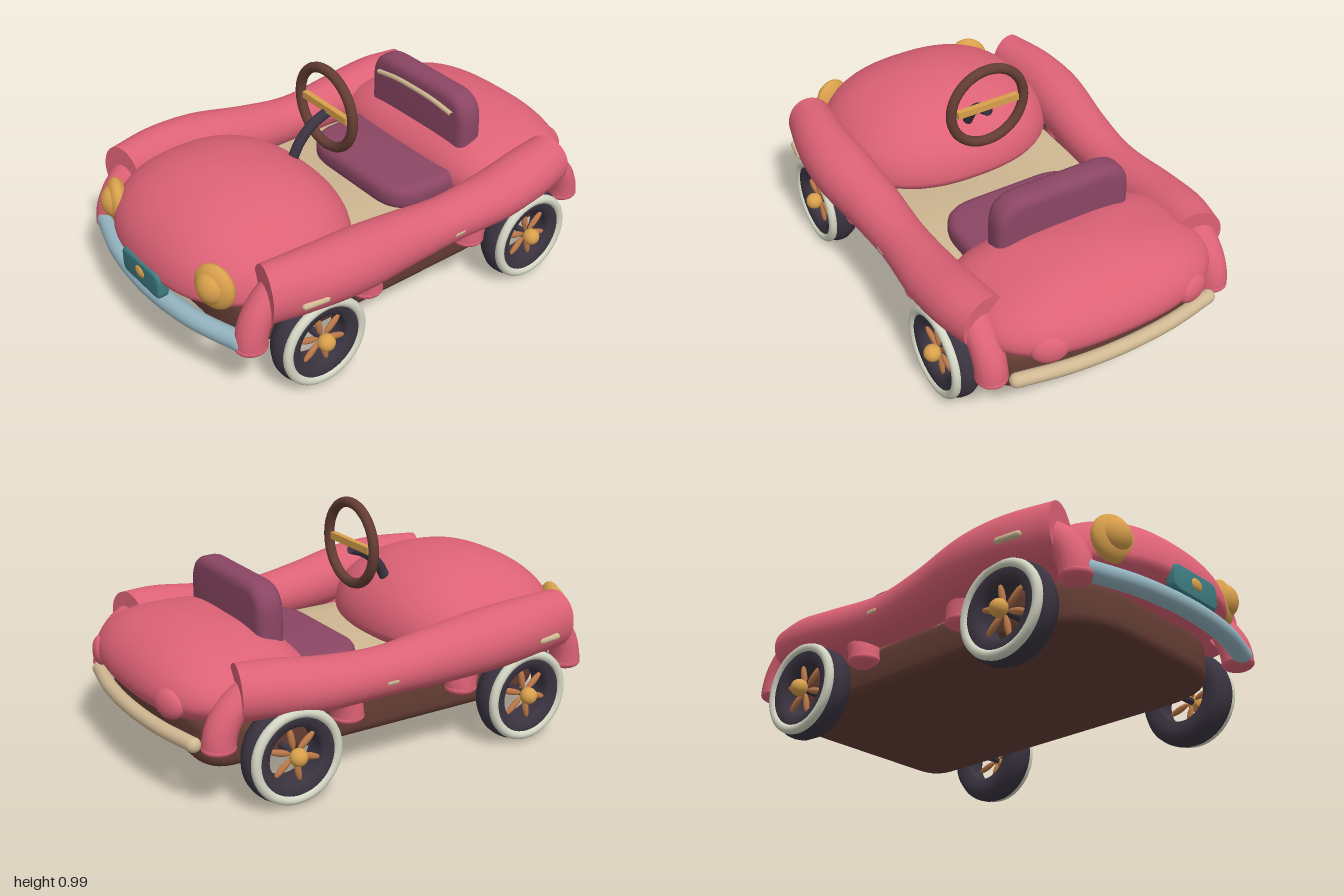
import * as THREE from 'three';
import { mergeVertices, toCreasedNormals } from 'three/addons/utils/BufferGeometryUtils.js';

const mat = (name, color) => new THREE.MeshStandardMaterial({ name, color });

export function createModel() {
  const car = new THREE.Group();
  car.name = 'pedalCar';
  const paint = mat('rosePaint', 0xdd6276);
  paint.side = THREE.DoubleSide;
  const brown = mat('darkBrown', 0x643d34);
  const plum = mat('plumLeather', 0x8b4664);
  const gold = mat('gold', 0xd9a04c);
  const copper = mat('copper', 0xbb7748);
  const rubber = mat('rubber', 0x3b3441);
  const white = mat('whitewall', 0xd5d7c5);
  const tan = mat('tan', 0xd0b893);
  const blue = mat('paleBlue', 0x94b5c1);
  const teal = mat('teal', 0x3f7d83);
  const V = (x, y, z) => new THREE.Vector3(x, y, z);

  const add = (name, geo, material, x = 0, y = 0, z = 0, parent = car) => {
    const m = new THREE.Mesh(geo, material);
    m.name = name;
    m.position.set(x, y, z);
    parent.add(m);
    return m;
  };
  const ball = (rx, ry, rz) => new THREE.SphereGeometry(1, 24, 16).scale(rx, ry, rz);

  // Ellipsoid with a squarer plan and separate radii for each half
  const dome = (rx, up, down, front, back, nFront, nBack) => {
    let g = new THREE.SphereGeometry(1, 56, 36);
    g.deleteAttribute('uv');
    g.deleteAttribute('normal');
    g = mergeVertices(g, 1e-4);
    const p = g.attributes.position;
    for (let i = 0; i < p.count; i++) {
      const x = p.getX(i), y = p.getY(i), z = p.getZ(i);
      const n = z > 0 ? nFront : nBack;
      const len = Math.hypot(x, z);
      const k = len < 1e-3 ? 1 : len / Math.pow(Math.abs(x) ** n + Math.abs(z) ** n, 1 / n);
      p.setXYZ(i, x * k * rx, y * (y > 0 ? up : down), z * k * (z > 0 ? front : back));
    }
    g.computeVertexNormals();
    return g;
  };

  // Rounded outline with different corner radii at the low and high ends
  const outline = (hw, a, b, ra, rb) => {
    const s = new THREE.Shape();
    s.moveTo(-hw + ra, a);
    s.lineTo(hw - ra, a);
    s.quadraticCurveTo(hw, a, hw, a + ra);
    s.lineTo(hw, b - rb);
    s.quadraticCurveTo(hw, b, hw - rb, b);
    s.lineTo(-hw + rb, b);
    s.quadraticCurveTo(-hw, b, -hw, b - rb);
    s.lineTo(-hw, a + ra);
    s.quadraticCurveTo(-hw, a, -hw + ra, a);
    return s;
  };
  const plate = (shape, depth, bevel) => toCreasedNormals(new THREE.ExtrudeGeometry(shape, {
    depth: depth - 2 * bevel, bevelSize: bevel, bevelThickness: bevel, bevelOffset: -bevel,
    bevelSegments: 4, curveSegments: 10,
  }).translate(0, 0, bevel), 0.6);
  const slab = (shape, depth, bevel) => plate(shape, depth, bevel).rotateX(Math.PI / 2);

  // Chassis, floor and body domes
  add('chassis', slab(outline(0.49, -0.87, 0.81, 0.14, 0.3), 0.19, 0.045), brown, 0, 0.35);
  add('floor', slab(outline(0.44, -0.42, 0.4, 0.12, 0.1), 0.03, 0.004), tan, 0, 0.37);
  add('hood', dome(0.5, 0.295, 0.13, 0.435, 0.43, 2.5, 2.4), paint, 0, 0.42, 0.55);
  add('rearDeck', dome(0.53, 0.2, 0.15, 0.34, 0.32, 4, 2.6), paint, 0, 0.42, -0.68);

  // Side body: one flowing tube; rows are z, inner x, outer x, bottom y, top y
  const rows = [
    [-0.75, 0.39, 0.6, 0.36, 0.58], [-0.6, 0.4, 0.635, 0.35, 0.575], [-0.4, 0.41, 0.645, 0.335, 0.548],
    [-0.13, 0.415, 0.625, 0.33, 0.53], [0.1, 0.41, 0.643, 0.33, 0.56], [0.35, 0.42, 0.677, 0.345, 0.602],
    [0.55, 0.43, 0.665, 0.355, 0.615], [0.76, 0.42, 0.615, 0.36, 0.61],
  ];
  const lower = new THREE.CatmullRomCurve3(rows.map(r => V(r[1], r[3], r[0])));
  const upper = new THREE.CatmullRomCurve3(rows.map(r => V(r[2], r[4], r[0])));
  const sideBody = side => {
    const N = 48, M = 28, pos = [], idx = [];
    for (let i = 0; i <= N; i++) {
      const a = lower.getPoint(i / N), b = upper.getPoint(i / N);
      const cx = (a.x + b.x) / 2, cy = (a.y + b.y) / 2;
      for (let j = 0; j < M; j++) {
        const t = j / M * Math.PI * 2;
        const dx = Math.cos(t) * (b.x - a.x) / 2;
        pos.push(side * (cx + dx), cy + Math.sin(t) * (b.y - a.y) / 2, a.z * (1 + 0.33 * dx));
        const k = i * M + j, n = i * M + (j + 1) % M;
        if (i < N) idx.push(...(side > 0 ? [k, n, k + M, n, n + M, k + M] : [k, k + M, n, n, k + M, n + M]));
      }
    }
    // End caps
    for (const i of [0, N]) for (let j = 1; j < M - 1; j++) {
      const k = i * M;
      idx.push(...((i === 0) === (side > 0) ? [k, k + j + 1, k + j] : [k, k + j, k + j + 1]));
    }
    const g = new THREE.BufferGeometry();
    g.setAttribute('position', new THREE.Float32BufferAttribute(pos, 3));
    g.setIndex(idx);
    return toCreasedNormals(g, 0.7);
  };

  // Wheel pieces, lathed about the axle
  const lathe = pts => new THREE.LatheGeometry(pts.map(p => new THREE.Vector2(...p)), 48).rotateZ(-Math.PI / 2);
  const tyre = lathe([[0.11, -0.05], [0.15, -0.068], [0.185, -0.055], [0.203, -0.02], [0.205, 0],
    [0.203, 0.02], [0.19, 0.05], [0.155, 0.062], [0.118, 0.05], [0.11, 0.03], [0.11, -0.05]].reverse());
  tyre.scale(-1, 1, 1).scale(-1, 1, 1);
  const rubberSolid = rubber;
  rubberSolid.side = THREE.DoubleSide;
  const ring = new THREE.TorusGeometry(0.176, 0.02, 12, 48).rotateY(Math.PI / 2);
  const spoke = ball(0.012, 0.05, 0.014).translate(0, 0.068, 0);
  const arch = new THREE.TorusGeometry(0.28, 0.066, 14, 36, Math.PI).rotateY(Math.PI / 2);

  for (const s of [1, -1]) {
    const label = s > 0 ? 'left' : 'right';
    add(label + 'SideBody', sideBody(s), paint);

    for (const [end, z, h] of [['Front', 0.55, 0.9], ['Rear', -0.56, 0.82]]) {
      const wheel = new THREE.Group();
      wheel.name = label + end + 'Wheel';
      wheel.position.set(s * 0.56, 0.21, z);
      wheel.rotation.y = s > 0 ? 0 : Math.PI;
      car.add(wheel);
      add('tyre', tyre, rubberSolid, 0, 0, 0, wheel);
      add('whitewall', ring, white, 0.052, 0, 0, wheel);
      for (let i = 0; i < 6; i++) add('spoke', spoke, copper, 0.03, 0, 0, wheel).rotation.x = i * Math.PI / 3 + 0.2;
      add('hub', ball(0.036, 0.036, 0.036), gold, 0.062, 0, 0, wheel);
      add('axle', new THREE.CylinderGeometry(0.015, 0.015, 0.16, 12).rotateZ(Math.PI / 2), rubber, -0.03, 0, 0, wheel);

      // Wheel arch with rounded ends
      const a = new THREE.Group();
      a.name = label + end + 'Arch';
      a.position.set(s * 0.52, 0.28, z);
      a.scale.y = h;
      car.add(a);
      add('archBand', arch, paint, 0, 0, 0, a);
      for (const e of [1, -1]) add('archTip', ball(0.066, 0.035, 0.068), paint, 0, 0, e * 0.28, a);
    }

    // Headlights, tail lights and side trim
    const lamp = new THREE.Group();
    lamp.name = label + 'Headlight';
    lamp.position.set(s * 0.36, 0.48, 0.875);
    lamp.rotation.y = s * 0.35;
    car.add(lamp);
    add('lampRim', ball(0.092, 0.1, 0.045), gold, 0, 0, 0, lamp);
    add('lampLens', ball(0.068, 0.074, 0.065), gold, -s * 0.005, 0.005, 0.004, lamp);
    add(label + 'TailLight', ball(0.075, 0.06, 0.035), paint, s * 0.33, 0.41, -0.945).rotation.y = s * -0.3;
    const rod = len => new THREE.CapsuleGeometry(0.014, len, 6, 12).rotateX(Math.PI / 2);
    add(label + 'SideMarker', rod(0.09), tan, s * 0.652, 0.46, 0.62).rotation.y = s * -0.13;
    add(label + 'DoorHandle', rod(0.04), tan, s * 0.613, 0.42, -0.135);
  }

  // Bumpers
  const bumper = (name, pts, r, material) => {
    const c = new THREE.CatmullRomCurve3(pts);
    add(name, new THREE.TubeGeometry(c, 40, r, 14), material);
    for (const t of [0, 1]) add(name + 'End', ball(r, r, r), material, ...c.getPoint(t).toArray());
  };
  bumper('frontBumper', [V(-0.5, 0.3, 0.865), V(-0.27, 0.297, 0.93), V(0, 0.295, 0.955), V(0.27, 0.297, 0.93), V(0.5, 0.3, 0.865)], 0.04, blue);
  bumper('rearBumper', [V(-0.45, 0.28, -0.91), V(-0.24, 0.28, -0.95), V(0, 0.28, -0.965), V(0.24, 0.28, -0.95), V(0.45, 0.28, -0.91)], 0.03, tan);

  // Nose plate with a plain stud
  add('nosePlate', plate(outline(0.138, 0.32, 0.438, 0.04, 0.04), 0.05, 0.012), teal, 0, 0, 0.943);
  add('noseStud', ball(0.036, 0.027, 0.014), gold, 0, 0.387, 0.988);

  // Seat
  add('seatCushion', slab(outline(0.33, -0.4, -0.055, 0.05, 0.17), 0.11, 0.04), plum, 0, 0.465);
  add('seatBack', plate(outline(0.305, 0.4, 0.78, 0.06, 0.13), 0.118, 0.04), plum, 0, 0, -0.542);
  const piping = new THREE.CatmullRomCurve3([V(-0.24, 0.695, -0.416), V(-0.12, 0.715, -0.412), V(0, 0.72, -0.41), V(0.12, 0.715, -0.412), V(0.24, 0.695, -0.416)]);
  add('seatPiping', new THREE.TubeGeometry(piping, 24, 0.011, 8), tan);

  // Steering
  add('steeringWheel', new THREE.TorusGeometry(0.174, 0.022, 14, 48), brown, 0, 0.795, 0.067);
  add('steeringBar', new THREE.BoxGeometry(0.29, 0.03, 0.025), gold, 0, 0.795, 0.067);
  const column = new THREE.CatmullRomCurve3([V(0, 0.6, 0.25), V(0, 0.68, 0.205), V(0, 0.74, 0.14), V(0, 0.77, 0.065)]);
  add('steeringColumn', new THREE.TubeGeometry(column, 20, 0.023, 12), rubber);
  return car;
}
